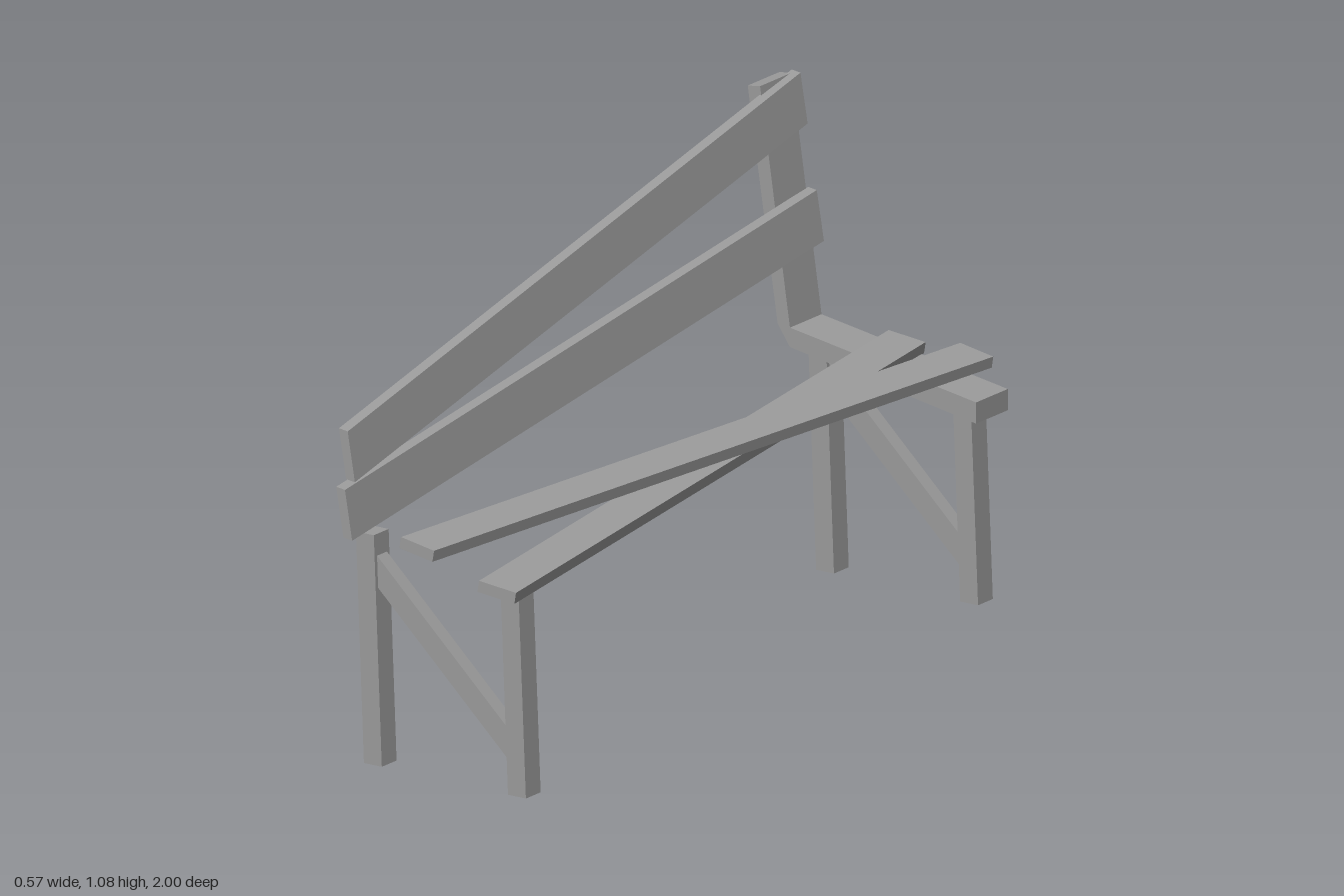
import * as THREE from 'three';

const material = new THREE.MeshStandardMaterial({ color: 0x9b9b9b, flatShading: true });

// Skewed box running from end centre a to end centre b, with section edges u and v
function beam(name, a, b, u, v) {
  const A = new THREE.Vector3(...a), B = new THREE.Vector3(...b);
  const U = new THREE.Vector3(...u), V = new THREE.Vector3(...v);
  const geometry = new THREE.BoxGeometry(1, 1, 1);
  const pos = geometry.attributes.position;
  const p = new THREE.Vector3();
  for (let i = 0; i < pos.count; i++) {
    p.lerpVectors(A, B, pos.getY(i) + 0.5)
      .addScaledVector(U, pos.getX(i))
      .addScaledVector(V, pos.getZ(i));
    pos.setXYZ(i, p.x, p.y, p.z);
  }
  geometry.computeVertexNormals();
  const mesh = new THREE.Mesh(geometry, material);
  mesh.name = name;
  return mesh;
}

export function createModel() {
  const bench = new THREE.Group();
  bench.name = 'brokenBench';

  // Leg frames with a diagonal brace at each end
  for (const [end, z] of [['front', 0.92], ['rear', -0.914]]) {
    const frame = new THREE.Group();
    frame.name = end + 'LegFrame';
    frame.add(
      beam('backLeg', [-0.11, 0.019, z], [-0.13, 0.529, z], [0.045, -0.002, 0], [0, 0, 0.06]),
      beam('seatLeg', [0.252, 0.001, z], [0.234, 0.441, z], [0.045, -0.002, 0], [0, 0, 0.06]),
      beam('brace', [-0.108, 0.449, z], [0.226, 0.109, z], [0, -0.068, 0], [0, 0, 0.04]),
    );
    bench.add(frame);
  }

  // Bent bracket carrying seat and backrest, surviving at the rear end only
  const profile = new THREE.Shape([
    [-0.288, 1.076], [-0.213, 0.56], [-0.182, 0.512], [0.286, 0.41],
    [0.286, 0.457], [-0.182, 0.555], [-0.257, 1.079],
  ].map(([x, y]) => new THREE.Vector2(x, y)));
  const bracket = new THREE.Mesh(
    new THREE.ExtrudeGeometry(profile, { depth: 0.128, bevelEnabled: false }), material);
  bracket.position.z = -0.986;
  bracket.name = 'bentBracket';
  bench.add(bracket);

  // Crossed seat slats
  const thick = [0.004, 0.025, 0];
  bench.add(
    beam('upperSeatSlat', [0.025, 0.525, 0.99], [0.2, 0.517, -0.996], [0.088, -0.016, 0.008], thick),
    beam('lowerSeatSlat', [0.226, 0.459, 0.99], [0.025, 0.522, -0.996], [0.088, -0.016, -0.008], thick),
  );

  // Slumped backrest boards
  const depth = [0.022, -0.004, 0], height = [-0.018, 0.11, 0];
  bench.add(
    beam('upperBackBoard', [-0.172, 0.697, 0.955], [-0.243, 1.026, -0.996], depth, height),
    beam('lowerBackBoard', [-0.151, 0.581, 1.0], [-0.202, 0.772, -0.996], depth, height),
  );
  return bench;
}
